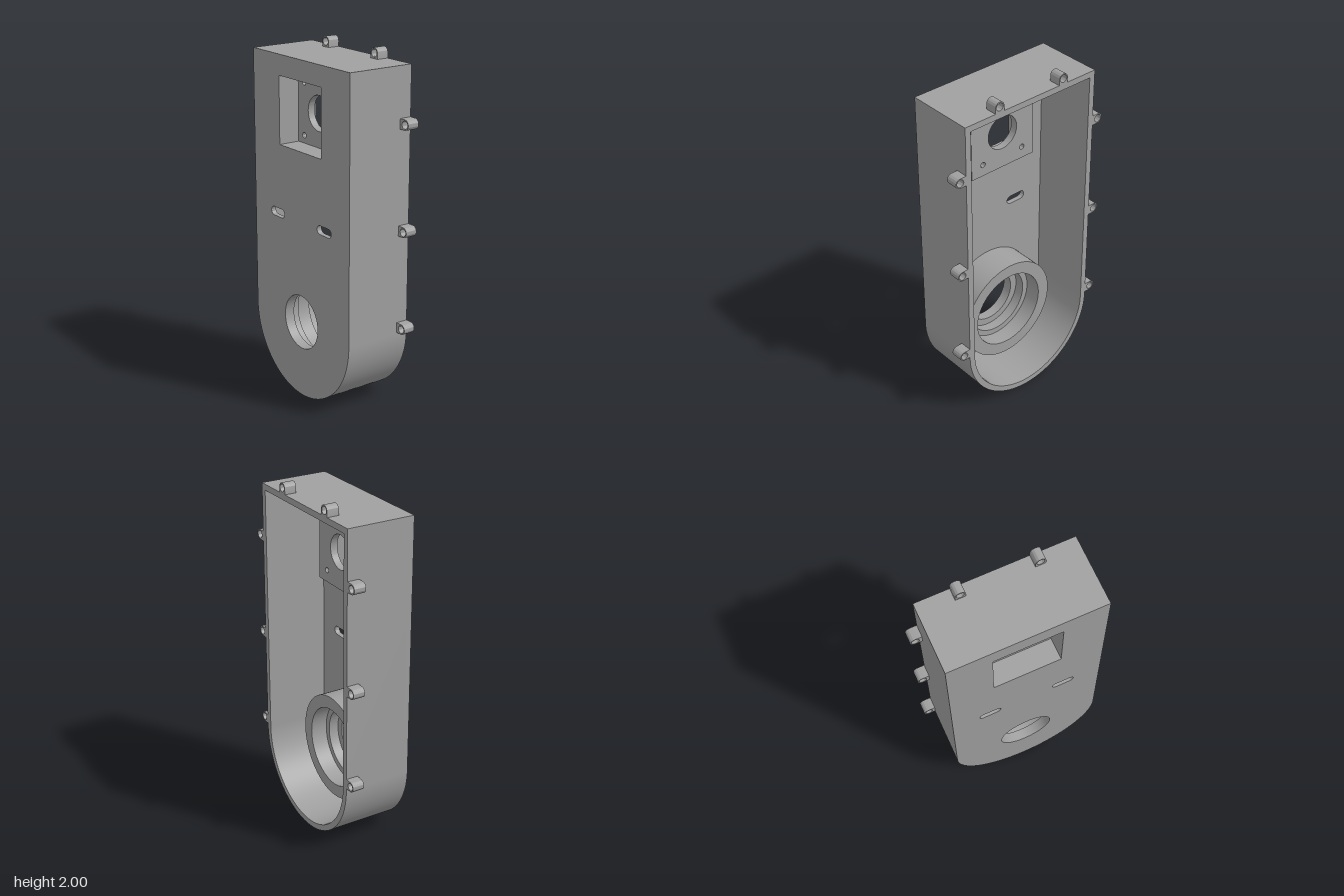
import * as THREE from 'three';
import { toCreasedNormals } from 'three/addons/utils/BufferGeometryUtils.js';

const W = 0.443, TOP = 1.94, BACK = -0.2, FRONT = 0.2, WALL = 0.035, INNER = 0.17;
const MOTOR_Y = 1.63, BEARING_Y = 0.447;

// Round-bottomed housing outline, inset by t
function outline(t, Type = THREE.Shape) {
  const s = new Type();
  s.moveTo(W - t, TOP - t);
  s.lineTo(-W + t, TOP - t);
  s.lineTo(-W + t, W);
  s.absarc(0, W, W - t, Math.PI, Math.PI * 2, false);
  s.closePath();
  return s;
}

function square(hx, hy, cy, Type = THREE.Shape) {
  const s = new Type();
  s.moveTo(-hx, cy - hy);
  s.lineTo(hx, cy - hy);
  s.lineTo(hx, cy + hy);
  s.lineTo(-hx, cy + hy);
  s.closePath();
  return s;
}

function circle(x, y, r) {
  const p = new THREE.Path();
  p.absarc(x, y, r, 0, Math.PI * 2, true);
  return p;
}

function slot(x, y, half, r) {
  const p = new THREE.Path();
  p.absarc(x + half - r, y, r, -Math.PI / 2, Math.PI / 2, false);
  p.absarc(x - half + r, y, r, Math.PI / 2, Math.PI * 1.5, false);
  p.closePath();
  return p;
}

function extrude(shape, z0, z1) {
  const g = new THREE.ExtrudeGeometry(shape, { depth: z1 - z0, bevelEnabled: false, curveSegments: 40 });
  g.translate(0, 0, z0);
  return toCreasedNormals(g, 0.5);
}

export function createModel() {
  const model = new THREE.Group();
  model.name = 'motorHousing';
  const grey = new THREE.MeshStandardMaterial({ color: 0xa0a0a0 });
  grey.name = 'grey';
  const add = (name, geometry) => {
    const m = new THREE.Mesh(geometry, grey);
    m.name = name;
    model.add(m);
    return m;
  };

  // Side wall, open at the back
  const wall = outline(0);
  wall.holes.push(outline(WALL, THREE.Path));
  add('sideWall', extrude(wall, BACK, INNER));

  // Front plate with motor recess, adjustment slots and shaft hole
  const plate = outline(0);
  plate.holes.push(
    square(0.193, 0.193, MOTOR_Y, THREE.Path),
    slot(-0.219, 1.04, 0.064, 0.025),
    slot(0.219, 1.04, 0.064, 0.025),
    circle(0, BEARING_Y, 0.157)
  );
  add('frontPlate', extrude(plate, INNER, FRONT));

  // Sunken motor mount: sleeve and drilled floor
  const sleeve = square(0.217, 0.217, MOTOR_Y);
  sleeve.holes.push(square(0.193, 0.193, MOTOR_Y, THREE.Path));
  add('motorRecessSleeve', extrude(sleeve, 0.073, INNER));
  const floor = square(0.217, 0.217, MOTOR_Y);
  floor.holes.push(circle(0, MOTOR_Y, 0.1));
  for (const sx of [-1, 1]) for (const sy of [-1, 1]) {
    floor.holes.push(circle(sx * 0.138, MOTOR_Y + sy * 0.148, 0.016));
  }
  add('motorRecessFloor', extrude(floor, 0.03, 0.073));

  // Bearing seat with stepped bore
  const profile = [
    [0.31, -0.02], [0.31, INNER], [0.157, INNER], [0.157, 0.14], [0.2, 0.14],
    [0.2, 0.08], [0.235, 0.08], [0.235, -0.02], [0.31, -0.02]
  ].map(([r, z]) => new THREE.Vector2(r, z));
  const seat = new THREE.LatheGeometry(profile, 80);
  seat.rotateX(Math.PI / 2);
  seat.translate(0, BEARING_Y, 0);
  add('bearingSeat', toCreasedNormals(seat, 0.5));

  // Screw lugs around the back rim; the lug points along +y before turning
  const lug = new THREE.Shape();
  lug.moveTo(-0.029, -0.04);
  lug.lineTo(0.029, -0.04);
  lug.absarc(0, 0, 0.029, 0, Math.PI, false);
  lug.closePath();
  lug.holes.push(circle(0, 0, 0.022));
  const lugGeometry = extrude(lug, BACK, -0.13);
  const addLug = (name, x, y, turn) => {
    const m = add(name, lugGeometry);
    m.position.set(x, y, 0);
    m.rotation.z = turn;
  };
  for (const s of [-1, 1]) {
    const side = s > 0 ? 'left' : 'right';
    addLug(side + 'TopLug', s * 0.217, 1.971, 0);
    [1.63, 1.04, 0.48].forEach((y, i) => addLug(side + 'SideLug' + (i + 1), s * 0.481, y, -s * Math.PI / 2));
  }
  return model;
}
